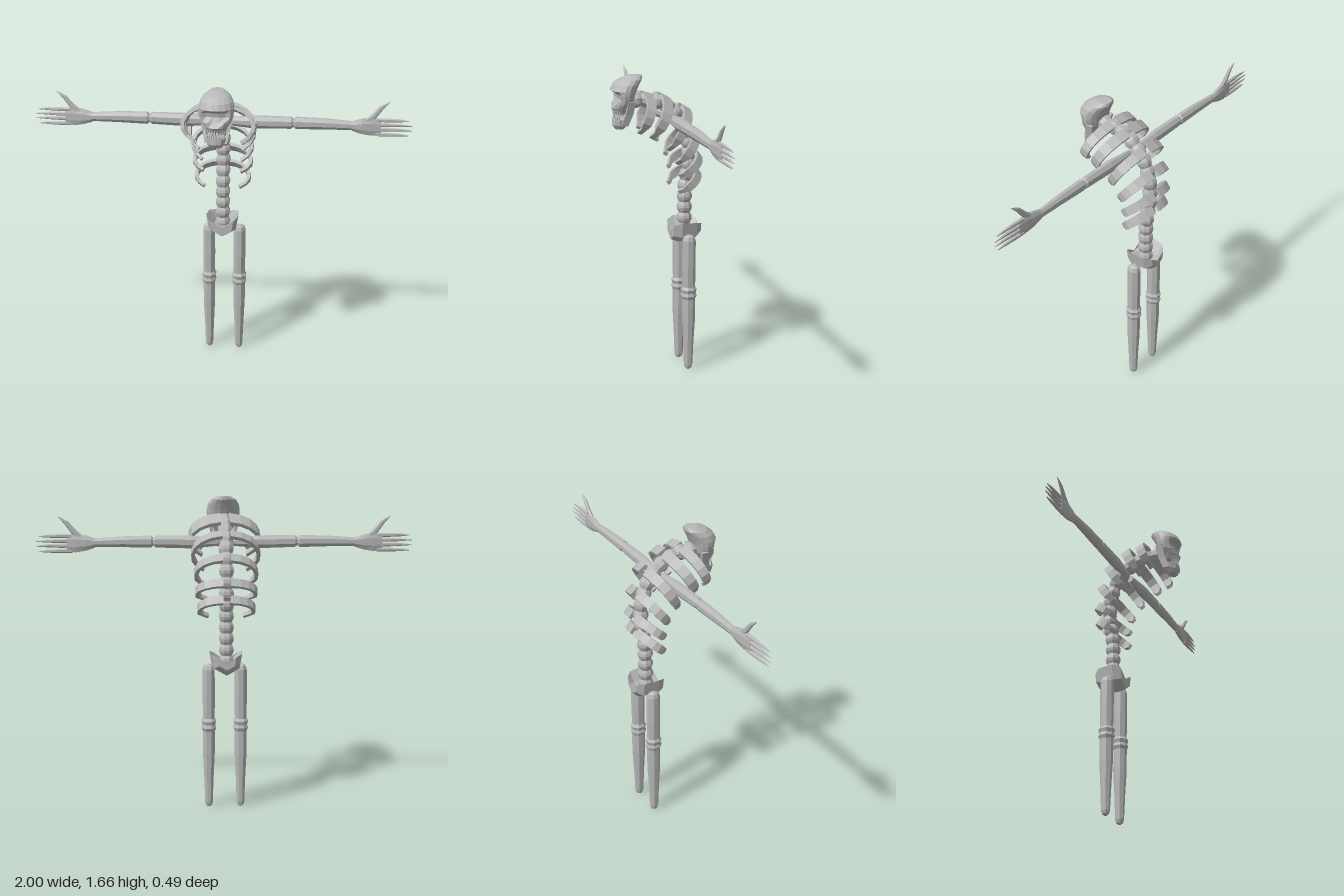
import * as THREE from 'three';

const V = (x, y, z) => new THREE.Vector3(x, y, z);
const bone = new THREE.MeshStandardMaterial({ color: 0xb8b8b8 });
bone.name = 'bone grey';

// Closed, flat-shaded solid through a list of equal-sized rings of points
function loft(rings) {
  const n = rings[0].length, pos = [], idx = [];
  const mid = (r) => r.reduce((a, p) => a.add(p), V(0, 0, 0)).divideScalar(n);
  const pts = [...rings.flat(), mid(rings[0]), mid(rings[rings.length - 1])];
  const last = (rings.length - 1) * n, c0 = rings.length * n;
  for (let j = 0; j < n; j++) {
    const k = (j + 1) % n;
    for (let i = 0; i < last; i += n) idx.push(i + j, i + k, i + n + j, i + k, i + n + k, i + n + j);
    idx.push(c0, k, j, c0 + 1, last + j, last + k);
  }
  // Turn the faces outward whichever way the rings run
  let volume = 0;
  for (let i = 0; i < idx.length; i += 3) {
    volume += pts[idx[i]].dot(pts[idx[i + 1]].clone().cross(pts[idx[i + 2]]));
  }
  if (volume < 0) idx.reverse();
  idx.forEach((i) => pos.push(pts[i].x, pts[i].y, pts[i].z));
  const g = new THREE.BufferGeometry();
  g.setAttribute('position', new THREE.Float32BufferAttribute(pos, 3));
  g.computeVertexNormals();
  return g;
}

// One ring of n points, placed by a rule of cosine and sine
const ring = (n, f) => Array.from({ length: n }, (_, i) => {
  const a = ((i + 0.5) / n) * Math.PI * 2;
  return f(Math.cos(a), Math.sin(a));
});

function add(parent, name, geometry) {
  const m = new THREE.Mesh(geometry, bone);
  m.name = name;
  parent.add(m);
  return m;
}

// Limb along x from rows of [x, y, half height, half depth]
const ARM_Z = -0.07;
const sideways = (rows, s, n = 8) => loft(rows.map(([x, y, h, d]) =>
  ring(n, (c, q) => V(s * x, y + q * h, ARM_Z + c * d))));

// Curved flat rib in a tilted plane; back and front are [y, z]
function rib(s, back, front, w, h) {
  const dy = front[0] - back[0], dz = front[1] - back[1], len = Math.hypot(dy, dz);
  const ny = Math.abs(dz) / len, nz = -dy / len * Math.sign(dz);
  const rings = [], steps = 7, end = 2.45, span = 1 - Math.cos(end);
  for (let i = 0; i <= steps; i++) {
    const t = i / steps, a = 0.12 + (end - 0.12) * t;
    const hh = h * (t > 0.85 ? 0.45 : 1 - 0.2 * t) / 2;
    const at = (r, k) => {
      const f = (1 - Math.cos(a)) / span, x = (w - r * Math.sin(a)) * Math.sin(a);
      const g = f + r * Math.cos(a) / len;
      return V(s * x, back[0] + dy * g + ny * hh * k, back[1] + dz * g + nz * hh * k);
    };
    rings.push([at(0, 1), at(0.02, 1), at(0.02, -1), at(0, -1)]);
  }
  return loft(rings);
}

function buildSpine(root) {
  const path = new THREE.CatmullRomCurve3([
    V(0, 0.77, -0.165), V(0, 0.9, -0.165), V(0, 1.04, -0.168), V(0, 1.16, -0.185), V(0, 1.28, -0.185),
    V(0, 1.4, -0.145), V(0, 1.48, -0.07), V(0, 1.52, 0.02), V(0, 1.525, 0.14)]);
  const count = 16, per = 4, rings = [];
  for (let i = 0; i <= count * per; i++) {
    const u = i / (count * per), p = path.getPointAt(u), t = path.getTangentAt(u);
    const r = 0.031 + 0.011 * Math.sin(Math.PI * ((i % per) / per));
    rings.push(ring(8, (c, q) => V(c * r, p.y + q * r * t.z, p.z - q * r * t.y)));
  }
  add(root, 'spine', loft(rings));
}

function buildRibs(root, s) {
  const cage = new THREE.Group();
  cage.name = s > 0 ? 'leftRibs' : 'rightRibs';
  root.add(cage);
  // back [y, z], front [y, z], half width, band height
  [[[1.14, -0.23], [1.03, -0.1], 0.155, 0.05],
    [[1.23, -0.235], [1.12, -0.1], 0.165, 0.05],
    [[1.36, -0.215], [1.19, -0.085], 0.17, 0.055],
    [[1.48, -0.165], [1.27, -0.035], 0.185, 0.055],
    [[1.545, -0.05], [1.34, 0.06], 0.195, 0.06],
    [[1.56, 0.045], [1.37, 0.125], 0.195, 0.055],
  ].forEach((r) => add(cage, 'rib', rib(s, ...r)));
}

function buildArm(root, s) {
  const arm = new THREE.Group();
  arm.name = s > 0 ? 'leftArm' : 'rightArm';
  root.add(arm);
  add(arm, 'upperArm', sideways([[0.02, 1.425, 0.02, 0.015], [0.18, 1.425, 0.036, 0.029],
    [0.37, 1.428, 0.033, 0.026], [0.383, 1.428, 0.022, 0.018]], s));
  add(arm, 'forearm', sideways([[0.383, 1.428, 0.022, 0.018], [0.395, 1.428, 0.034, 0.026],
    [0.55, 1.428, 0.03, 0.023], [0.71, 1.423, 0.024, 0.017]], s));
  add(arm, 'palm', sideways([[0.69, 1.422, 0.027, 0.017], [0.74, 1.422, 0.044, 0.018],
    [0.79, 1.422, 0.053, 0.014], [0.84, 1.42, 0.046, 0.008]], s));
  [1.459, 1.433, 1.408, 1.38].forEach((y, i) => {
    const tip = i === 1 || i === 2 ? 1 : 0.985;
    add(arm, 'finger', sideways([[0.81, y, 0.01, 0.01], [0.87, y, 0.011, 0.009],
      [0.94, y, 0.008, 0.006], [tip, y - 0.002, 0.002, 0.002]], s, 6));
  });
  const thumb = [[0.74, 1.43, 0.016], [0.8, 1.48, 0.016], [0.84, 1.53, 0.012], [0.88, 1.56, 0.002]];
  add(arm, 'thumb', loft(thumb.map(([x, y, r]) =>
    ring(6, (c, q) => V(s * (x - q * r * 0.7), y + q * r * 0.7, ARM_Z + c * r * 0.7)))));
}

function buildLeg(root, name, x) {
  const leg = new THREE.Group();
  leg.name = name;
  root.add(leg);
  const upright = (rows) => loft(rows.map(([y, r]) =>
    ring(8, (c, q) => V(x + c * r, y, -0.163 + q * r * 1.08))));
  add(leg, 'thigh', upright([[0.785, 0.012], [0.775, 0.027], [0.755, 0.034], [0.6, 0.035],
    [0.49, 0.033], [0.475, 0.042], [0.455, 0.036]]));
  add(leg, 'shin', upright([[0.455, 0.036], [0.438, 0.042], [0.42, 0.034], [0.3, 0.034],
    [0.16, 0.027], [0.025, 0.022], [0.008, 0.017], [0, 0.008]]));
}

function buildPelvis(root) {
  // Bowl with raised hip tips, swept from back to front
  const outline = [[-0.09, 0.85], [-0.045, 0.795], [0, 0.785], [0.045, 0.795], [0.09, 0.85],
    [0.075, 0.765], [0, 0.722], [-0.075, 0.765]];
  add(root, 'pelvis', loft([[-0.248, 0.55, 0.01], [-0.215, 0.9, 0], [-0.13, 1, 0], [-0.088, 0.72, 0]]
    .map(([z, k, up]) => outline.map(([x, y]) => V(x * k, 0.79 + (y - 0.79) * k + up, z)))));
}

function buildHead(root) {
  const head = new THREE.Group();
  head.name = 'head';
  root.add(head);
  // Rows of [y, front z, back z, half width], with eye and nose hollows pressed in
  const skull = [[1.462, 0.222, 0.16, 0.045], [1.49, 0.24, 0.14, 0.062], [1.515, 0.238, 0.125, 0.08],
    [1.54, 0.232, 0.12, 0.088], [1.562, 0.236, 0.115, 0.092], [1.585, 0.246, 0.105, 0.092],
    [1.615, 0.232, 0.09, 0.085], [1.64, 0.2, 0.075, 0.068], [1.658, 0.15, 0.075, 0.035]];
  add(head, 'skull', loft(skull.map(([y, f, b, w]) => ring(16, (c, q) => {
    const x = c * w;
    let z = (f + b) / 2 + q * (f - b) / 2;
    if (q > 0 && Math.abs(y - 1.551) < 0.015 && Math.abs(Math.abs(x) - 0.042) < 0.025) z -= 0.025;
    if (q > 0 && Math.abs(y - 1.515) < 0.01 && Math.abs(x) < 0.02) z -= 0.018;
    return V(x, y, z);
  }))));
  const jaw = [[1.378, 0.222, 0.175, 0.032], [1.4, 0.238, 0.155, 0.048], [1.432, 0.236, 0.15, 0.057]];
  add(head, 'jaw', loft(jaw.map(([y, f, b, w]) =>
    ring(10, (c, q) => V(c * w, y, (f + b) / 2 + q * (f - b) / 2)))));
  for (const s of [-1, 1]) {
    add(head, 'jawHinge', loft([[1.4, 0.185, 0.05], [1.46, 0.162, 0.062], [1.53, 0.15, 0.08]]
      .map(([y, z, x]) => ring(4, (c, q) => V(s * x + c * 0.012, y, z + q * 0.028)))));
  }
  // Two rows of pointed teeth around the mouth
  for (let i = -4; i <= 4; i++) {
    const a = i * 0.27;
    const upper = add(head, 'upperTooth', new THREE.ConeGeometry(0.008, 0.034, 4).toNonIndexed());
    upper.geometry.computeVertexNormals();
    upper.rotation.x = Math.PI;
    upper.position.set(Math.sin(a) * 0.053, 1.458 + Math.abs(i) * 0.003, 0.185 + Math.cos(a) * 0.042);
    if (i === 4) continue;
    const b = a + 0.135;
    const lower = add(head, 'lowerTooth', new THREE.ConeGeometry(0.007, 0.03, 4).toNonIndexed());
    lower.geometry.computeVertexNormals();
    lower.position.set(Math.sin(b) * 0.053, 1.442, 0.19 + Math.cos(b) * 0.038);
  }
}

export function createModel() {
  const root = new THREE.Group();
  root.name = 'skeleton';
  buildSpine(root);
  buildPelvis(root);
  buildHead(root);
  for (const s of [-1, 1]) {
    buildRibs(root, s);
    buildArm(root, s);
  }
  buildLeg(root, 'rightLeg', -0.077);
  buildLeg(root, 'leftLeg', 0.094);
  return root;
}
